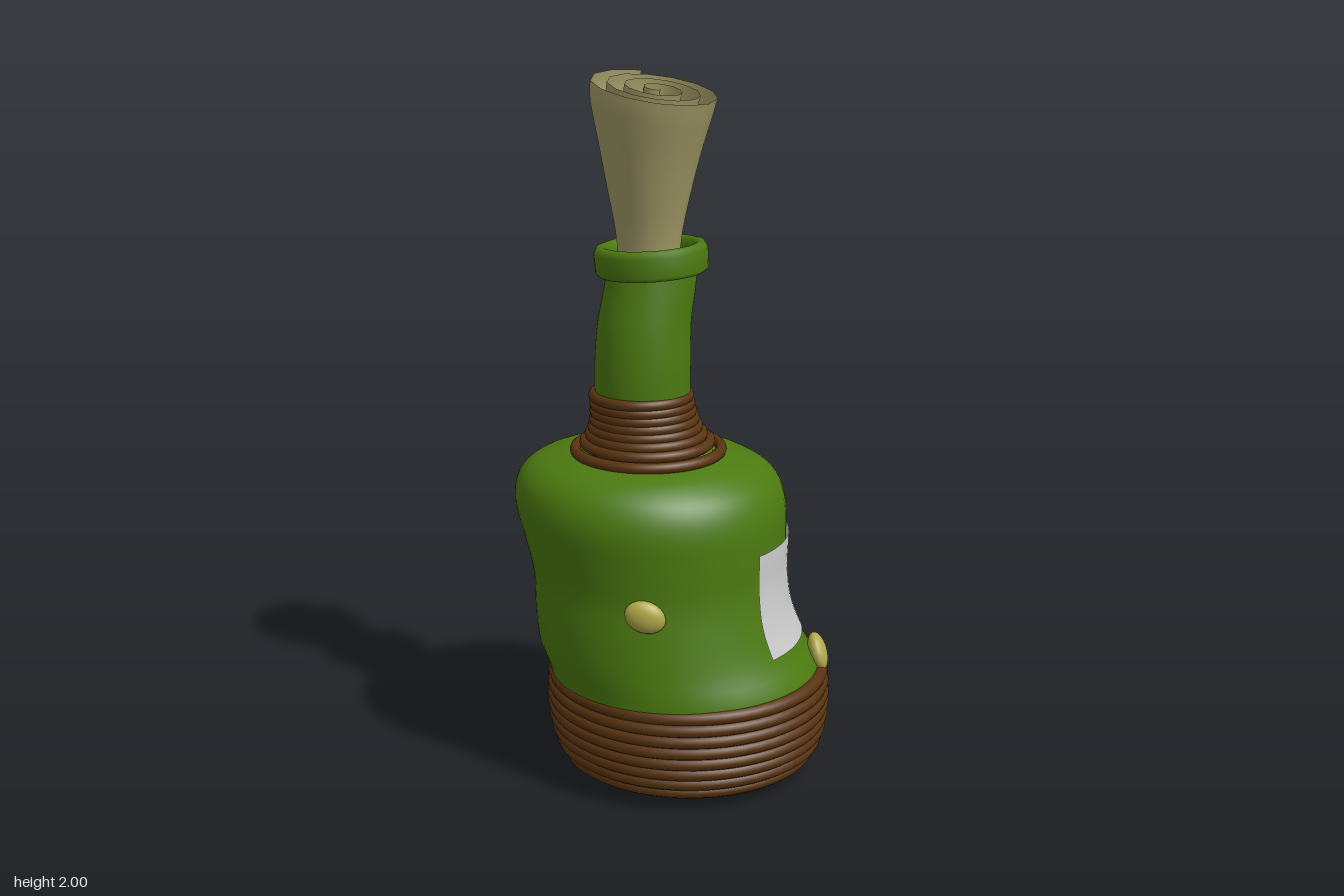
import * as THREE from 'three';
import { mergeVertices } from 'three/addons/utils/BufferGeometryUtils.js';

const mat = (color, side = THREE.FrontSide) => new THREE.MeshStandardMaterial({ color, side, roughness: 0.8 });
const GREEN = mat(0x4c7a10), ROPE = mat(0x5a3410), LABEL = mat(0xcccccc, THREE.DoubleSide);
const PAPER = mat(0xa39c68, THREE.DoubleSide), CLAM = mat(0xb0a84a), BARNACLE = mat(0x4a3a20, THREE.DoubleSide);
const DEG = Math.PI / 180;

// Surface from a rule point(u, v): u runs around, v runs up
function grid(cols, rows, point) {
  const pos = [], idx = [], n = cols + 1;
  for (let i = 0; i <= rows; i++)
    for (let j = 0; j <= cols; j++) pos.push(...point(j / cols, i / rows));
  for (let i = 0; i < rows; i++)
    for (let j = 0; j < cols; j++) {
      const a = i * n + j, b = a + n;
      idx.push(a, b, a + 1, a + 1, b, b + 1);
    }
  let g = new THREE.BufferGeometry();
  g.setAttribute('position', new THREE.Float32BufferAttribute(pos, 3));
  g.setIndex(idx);
  g = mergeVertices(g, 1e-5);
  g.computeVertexNormals();
  return g;
}

// Round, leaning shell through sections [y, centre x, centre z, radius]
function shell(sections) {
  const curve = (f) => new THREE.CatmullRomCurve3(sections.map(f), false, 'catmullrom');
  const axis = curve(([y, x, z]) => new THREE.Vector3(x, y, z));
  const radius = curve((s) => new THREE.Vector3(s[3], 0, 0));
  const at = (t, angle, off = 0) => {
    const c = axis.getPoint(t), r = radius.getPoint(t).x + off;
    return [c.x + r * Math.cos(angle), c.y, c.z + r * Math.sin(angle)];
  };
  // Point on the side at a given height
  const atHeight = (y, angle, off) => {
    let lo = 0, hi = 1;
    for (let k = 0; k < 30; k++) {
      const m = (lo + hi) / 2;
      if (axis.getPoint(m).y < y) lo = m; else hi = m;
    }
    return at(lo, angle, off);
  };
  return { atHeight, geometry: grid(64, sections.length * 4, (u, v) => at(v, u * Math.PI * 2)) };
}

export function createModel() {
  const model = new THREE.Group();
  const add = (name, geometry, material, parent = model) => {
    const m = new THREE.Mesh(geometry, material);
    m.name = name;
    parent.add(m);
    return m;
  };
  const group = (name) => {
    const g = new THREE.Group();
    g.name = name;
    model.add(g);
    return g;
  };

  // Bottle body and bent neck
  const body = shell([
    [0.07, 0.04, 0.005, 0.36], [0.2, 0.04, 0.005, 0.395], [0.31, 0.03, 0.01, 0.39], [0.4, -0.012, 0.008, 0.38],
    [0.5, -0.035, 0.01, 0.366], [0.6, -0.044, 0.003, 0.362], [0.7, -0.055, -0.005, 0.375],
    [0.8, -0.07, -0.012, 0.386], [0.87, -0.08, -0.015, 0.368], [0.915, -0.09, -0.005, 0.315],
    [0.938, -0.085, 0.005, 0.25], [0.95, -0.08, 0.015, 0.18], [0.955, -0.08, 0.02, 0.12],
  ]);
  add('bottleBody', body.geometry, GREEN);
  const neck = shell([
    [0.94, -0.075, 0.02, 0.19], [1.02, -0.08, 0.035, 0.14], [1.13, -0.086, 0.047, 0.134], [1.22, -0.085, 0.048, 0.134],
    [1.32, -0.081, 0.045, 0.13], [1.41, -0.068, 0.034, 0.127], [1.48, -0.058, 0.024, 0.125],
  ]);
  add('bottleNeck', neck.geometry, GREEN);

  // Lip with a shallow well inside
  const lip = [[0.12, -0.045], [0.149, -0.045], [0.157, -0.035], [0.158, 0.018], [0.15, 0.033], [0.135, 0.037],
    [0.122, 0.03], [0.116, 0.01], [0.112, -0.08], [0, -0.085]];
  const collar = add('bottleLip', new THREE.LatheGeometry(lip.map((p) => new THREE.Vector2(...p)), 48), GREEN);
  collar.position.set(-0.063, 1.505, 0.02);
  collar.rotation.z = 0.06;

  // Rope rings
  const ring = (parent, y, x, z, outer, tube) => {
    const m = add('ropeRing', new THREE.TorusGeometry(outer - tube, tube, 10, 56), ROPE, parent);
    m.rotation.x = Math.PI / 2;
    m.position.set(x, y, z);
  };
  const baseRope = group('baseRope');
  [0.372, 0.392, 0.402, 0.408, 0.411, 0.412, 0.411, 0.408].forEach((r, i) =>
    ring(baseRope, 0.058 + i * 0.0335, 0.043 - i * 0.0005, 0.003, r, 0.021));
  const underRope = group('undersideRope');
  for (let r = 0.35; r > 0.03; r -= 0.032) ring(underRope, 0.06, 0.043, 0.003, r, 0.019);
  const neckRope = group('neckRope');
  [0.222, 0.192, 0.174, 0.163, 0.156, 0.151, 0.149, 0.148].forEach((r, i) =>
    ring(neckRope, 0.955 + i * 0.0233, -0.073 - i * 0.0025, 0.02 + i * 0.0036, r, 0.016));
  const floor = add('bottleBottom', new THREE.CircleGeometry(0.37, 48), GREEN);
  floor.rotation.x = Math.PI / 2;
  floor.position.set(0.043, 0.065, 0.003);

  // Blank label wrapped on the side
  add('label', grid(20, 14, (u, v) =>
    body.atHeight(0.41 + 0.3 * v, (u - 0.5) * 75 * DEG, 0.008)), LABEL);

  // Rolled paper: a flaring spiral sheet with a slanted top
  const flare = new THREE.SplineCurve([[0.09, 0], [0.103, 0.25], [0.132, 0.5], [0.157, 0.7], [0.185, 0.9], [0.192, 1]]
    .map((p) => new THREE.Vector2(...p)));
  const turns = 3.6;
  add('paperScroll', grid(Math.round(turns * 13), 14, (u, v) => {
    const f = flare.getPoint(v);
    const angle = (252 - (1 - u) * turns * 360) * DEG;
    const r = f.x * (0.05 + 0.95 * Math.pow(u, 0.85));
    const cx = -0.065 + 0.022 * v * v, cz = 0.013 + 0.012 * v;
    const x = cx + r * Math.cos(angle), z = cz + r * Math.sin(angle);
    const top = Math.min(2, 1.963 - 0.15 * (x + 0.045) - 0.12 * (z - 0.02));
    return [x, 1.44 + (top - 1.44) * f.y, z];
  }), PAPER);

  // Small growths, each standing along a surface normal
  const up = new THREE.Vector3(0, 1, 0);
  const place = (mesh, p, n, spin = 0) => {
    mesh.position.set(...p);
    mesh.quaternion.setFromUnitVectors(up, new THREE.Vector3(...n).normalize());
    mesh.rotateY(spin);
  };
  const outward = (deg, rise = 0) => [Math.cos(deg * DEG), rise, Math.sin(deg * DEG)];

  const shells = group('clams');
  const clamShape = new THREE.SphereGeometry(1, 20, 14);
  const clam = (p, n, spin) => {
    const m = add('clam', clamShape, CLAM, shells);
    m.scale.set(0.045, 0.027, 0.058);
    place(m, p, n, spin);
  };
  clam(body.atHeight(0.58, 92 * DEG, 0.006), outward(92), 1.2);
  clam(body.atHeight(0.345, 0, 0.015), outward(0, 0.3), 1.1);
  clam(body.atHeight(0.485, -52 * DEG, 0.006), outward(-52), 0.6);
  clam([-0.05, 0.03, 0.2], [-0.2, -1, 0.1], 0.4);

  const barnacles = group('barnacles');
  const cone = new THREE.LatheGeometry(
    [[0.02, -0.006], [0.018, 0.005], [0.013, 0.013], [0.009, 0.012], [0.004, 0.002]].map((p) => new THREE.Vector2(...p)), 10);
  const barnacle = (p, n, size = 1) => {
    const m = add('barnacle', cone, BARNACLE, barnacles);
    m.scale.setScalar(size);
    place(m, p, n);
  };
  [[0.855, -86, 1], [0.87, -79, 0.8], [0.78, -84, 0.7]].forEach(([y, a, s]) =>
    barnacle(body.atHeight(y, a * DEG, 0), outward(a, 0.2), s));
  [[1.165, -135, 1], [1.215, -152, 0.8]].forEach(([y, a, s]) =>
    barnacle(neck.atHeight(y, a * DEG, 0), outward(a), s));
  barnacle(body.atHeight(0.15, -144 * DEG, 0.024), outward(-144), 1.4);
  [[0.17, -0.21, 1.6], [0.13, -0.17, 1.1], [0.2, -0.16, 0.9], [0.09, -0.08, 1.3], [0.04, 0.02, 1.1], [0.0, 0.06, 0.9]]
    .forEach(([x, z, s]) => barnacle([x, 0.042, z], [0, -1, 0], s));

  return model;
}
